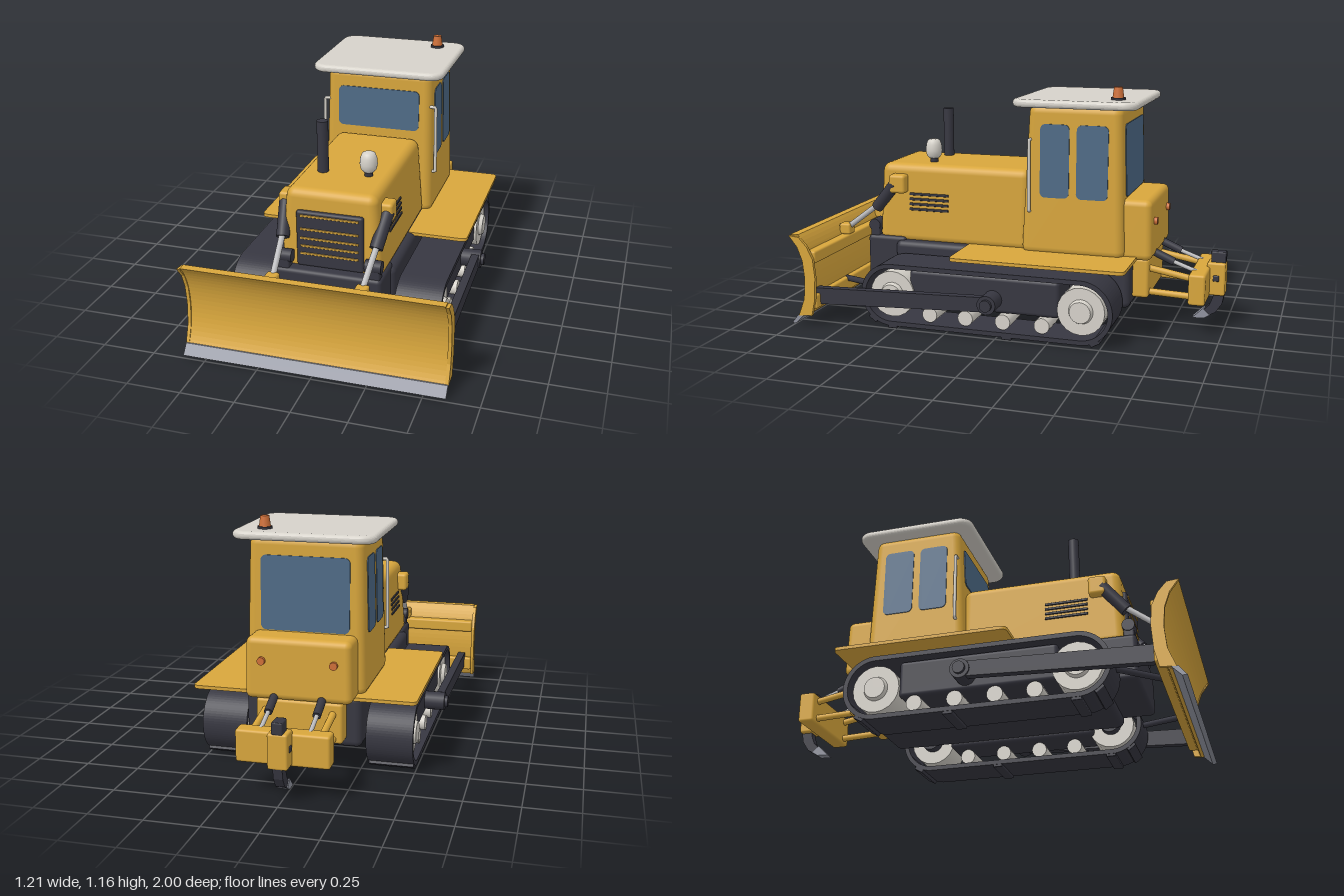
import * as THREE from 'three';
import { RoundedBoxGeometry } from 'three/addons/geometries/RoundedBoxGeometry.js';

const mat = (name, color, side = THREE.FrontSide) => {
  const m = new THREE.MeshStandardMaterial({ color, side });
  m.name = name;
  return m;
};

export function createModel() {
  const model = new THREE.Group();
  model.name = 'bulldozer';
  const yellow = mat('yellow paint', 0xd8a63c), dark = mat('dark steel', 0x373741);
  const white = mat('off white', 0xd6d2ca), glass = mat('window glass', 0x4d6985);
  const steel = mat('cutting steel', 0x8f929e), chrome = mat('chrome rod', 0xbcbcbe);
  const orange = mat('orange lamp', 0xcf7038);

  const add = (name, geo, m, x = 0, y = 0, z = 0) => {
    const mesh = new THREE.Mesh(geo, m);
    mesh.name = name;
    mesh.position.set(x, y, z);
    model.add(mesh);
    return mesh;
  };
  // Rounded box given by its x, y and z ranges
  const box = (name, m, [x0, x1], [y0, y1], [z0, z1], r = 0.01) =>
    add(name, new RoundedBoxGeometry(x1 - x0, y1 - y0, z1 - z0, 3, r), m,
      (x0 + x1) / 2, (y0 + y1) / 2, (z0 + z1) / 2);
  // Same box on the side s (+1 left, -1 right)
  const sideBox = (name, m, s, [x0, x1], ys, zs, r) =>
    box(name, m, s > 0 ? [x0, x1] : [-x1, -x0], ys, zs, r);
  // Cylinder between two points
  const rod = (name, m, a, b, r, r2 = r) => {
    const p = new THREE.Vector3(...a), q = new THREE.Vector3(...b), d = q.clone().sub(p);
    const mesh = add(name, new THREE.CylinderGeometry(r2, r, d.length(), 20), m);
    mesh.position.copy(p).add(q).multiplyScalar(0.5);
    mesh.quaternion.setFromUnitVectors(new THREE.Vector3(0, 1, 0), d.normalize());
    return mesh;
  };
  // Extrude a (z, y) outline across x, centred on x = 0
  const across = (shape, width) => new THREE.ExtrudeGeometry(shape, { depth: width, bevelEnabled: false, curveSegments: 20 })
    .translate(0, 0, -width / 2).rotateY(-Math.PI / 2);
  const outline = pts => new THREE.Shape(pts.map(p => new THREE.Vector2(...p)));
  const roundRect = (w, h, r) => {
    const s = new THREE.Shape(), a = w / 2, b = h / 2, q = Math.PI / 2;
    s.absarc(a - r, b - r, r, 0, q).absarc(r - a, b - r, r, q, 2 * q);
    s.absarc(r - a, r - b, r, 2 * q, 3 * q).absarc(a - r, r - b, r, 3 * q, 4 * q);
    s.closePath();
    return s;
  };
  // Narrow a box towards its top: sides, front and back by the given amounts
  const taper = (mesh, h, side, front, back) => {
    const p = mesh.geometry.attributes.position;
    for (let i = 0; i < p.count; i++) {
      const t = p.getY(i) / h + 0.5;
      p.setX(i, p.getX(i) - Math.sign(p.getX(i)) * side * t);
      p.setZ(i, p.getZ(i) + (p.getZ(i) > 0 ? -front : back) * t);
    }
  };
  const windowPane = (name, w, h, pos, rot, order) => {
    const g = new THREE.ExtrudeGeometry(roundRect(w, h, 0.025), { depth: 0.008, bevelEnabled: false });
    const mesh = add(name, g.translate(0, 0, -0.004), glass, ...pos);
    mesh.rotation.set(...rot, order);
  };

  // Hull and engine hood
  box('hull', dark, [-0.27, 0.27], [0.13, 0.375], [-0.585, 0.6], 0.03);
  box('hullNose', dark, [-0.25, 0.25], [0.17, 0.39], [0.55, 0.755], 0.02);
  taper(box('hood', yellow, [-0.24, 0.24], [0.36, 0.752], [-0.08, 0.7], 0.04), 0.39, 0.03, 0.012, 0);
  box('grille', dark, [-0.155, 0.155], [0.39, 0.658], [0.66, 0.71], 0.012);
  [0.638, 0.574, 0.53, 0.492, 0.455].forEach(y =>
    box('grilleSlat', yellow, [-0.135, 0.135], [y - 0.005, y + 0.005], [0.706, 0.715], 0.002));

  // Exhaust and air cleaner
  rod('exhaust', dark, [-0.11, 0.74, 0.455], [-0.11, 0.995, 0.455], 0.026);
  rod('cleanerNeck', dark, [0.105, 0.74, 0.45], [0.105, 0.8, 0.45], 0.02);
  const dome = [[0, 0.77], [0.025, 0.772], [0.036, 0.785], [0.041, 0.81], [0.038, 0.84], [0.03, 0.86], [0.018, 0.866], [0, 0.867]];
  add('airCleaner', new THREE.LatheGeometry(dome.map(p => new THREE.Vector2(...p)), 24), white, 0.105, 0, 0.45);

  // Cab
  taper(box('cab', yellow, [-0.28, 0.28], [0.36, 1.075], [-0.555, -0.055], 0.04), 0.715, 0.017, 0.035, 0.02);
  windowPane('frontWindow', 0.41, 0.2, [0, 0.887, -0.08], [-0.049, 0, 0], 'XYZ');
  windowPane('rearWindow', 0.41, 0.34, [0, 0.82, -0.5425], [0.028, Math.PI, 0], 'XYZ');
  const roof = new THREE.ExtrudeGeometry(roundRect(0.62, 0.56, 0.05),
    { depth: 0.004, bevelThickness: 0.017, bevelSize: 0.018, bevelSegments: 5 });
  add('roof', roof.rotateX(-Math.PI / 2), white, 0, 1.081, -0.315);
  rod('beaconBase', dark, [0.195, 1.098, -0.5], [0.195, 1.112, -0.5], 0.034);
  rod('beacon', orange, [0.195, 1.11, -0.5], [0.195, 1.16, -0.5], 0.027, 0.02);

  // Rear tank
  taper(box('rearTank', yellow, [-0.247, 0.247], [0.36, 0.645], [-0.68, -0.5], 0.03), 0.285, 0.006, 0, 0.006);

  // Track belt outline: two arcs joined by straight runs
  const loop = (path, r) => {
    path.absarc(0.525, 0.165, r, -Math.PI / 2, Math.PI / 2);
    path.absarc(-0.405, 0.165, r, Math.PI / 2, Math.PI * 1.5);
    path.closePath();
    return path;
  };
  const belt = loop(new THREE.Shape(), 0.152);
  belt.holes.push(loop(new THREE.Path(), 0.13));

  for (const s of [1, -1]) {
    // Tracks and running gear
    add('trackBelt', across(belt, 0.215), dark, s * 0.39, 0, 0);
    sideBox('trackFrame', dark, s, [0.26, 0.465], [0.115, 0.29], [-0.3, 0.44], 0.02);
    for (const z of [0.525, -0.405]) {
      rod('trackWheel', white, [s * 0.3, 0.165, z], [s * 0.475, 0.165, z], 0.112);
      rod('wheelHub', white, [s * 0.47, 0.165, z], [s * 0.495, 0.165, z], 0.06, 0.05);
      rod('wheelAxle', dark, [s * 0.25, 0.165, z], [s * 0.3, 0.165, z], 0.05);
    }
    for (const z of [0.335, 0.155, -0.03, -0.22])
      rod('roller', white, [s * 0.31, 0.078, z], [s * 0.475, 0.078, z], 0.037);
    for (const [z, y, tilt] of [[0.62, 0.04, -0.65], [0.52, 0.008, 0], [-0.055, 0.008, 0], [-0.475, 0.024, 0.5]])
      sideBox('grouser', dark, s, [0.285, 0.495], [y - 0.008, y + 0.012], [z - 0.024, z + 0.024], 0.004).rotation.x = tilt;

    // Fender
    const f = new THREE.Shape();
    f.moveTo(0.235, -0.22).lineTo(0.49, -0.22).quadraticCurveTo(0.52, -0.22, 0.52, -0.19);
    f.lineTo(0.52, 0.58).quadraticCurveTo(0.52, 0.61, 0.49, 0.61).lineTo(0.235, 0.61).closePath();
    const fender = new THREE.ExtrudeGeometry(f, { depth: 0.016, bevelEnabled: false });
    if (s < 0) fender.rotateZ(Math.PI).translate(0, 0.39, 0);
    add('fender', fender.rotateX(-Math.PI / 2), yellow, 0, 0.362, 0);

    // Side windows and grab rail
    for (const [z, w] of [[-0.22, 0.14], [-0.4, 0.15]])
      windowPane('sideWindow', w, 0.345, [s * 0.2695, 0.813, z], [0, s * Math.PI / 2, s * 0.024], 'ZYX');
    const rail = new THREE.CurvePath(), pts = [[0.262, 0.57], [0.288, 0.575], [0.284, 0.91], [0.25, 0.91]]
      .map(([x, y]) => new THREE.Vector3(s * x, y, -0.1));
    pts.slice(1).forEach((p, i) => rail.add(new THREE.LineCurve3(pts[i], p)));
    add('grabRail', new THREE.TubeGeometry(rail, 60, 0.008, 8), white);

    // Hood vents
    for (const y of [0.605, 0.58, 0.555, 0.53])
      sideBox('hoodVent', dark, s, [0.215, 0.247 - (y - 0.36) * 0.077], [y - 0.006, y + 0.006], [0.33, 0.535], 0.003);

    // Lift cylinder
    sideBox('liftBracket', yellow, s, [0.19, 0.265], [0.61, 0.702], [0.545, 0.63], 0.015);
    rod('liftBarrel', dark, [s * 0.238, 0.655, 0.605], [s * 0.216, 0.525, 0.715], 0.03);
    rod('liftRod', chrome, [s * 0.22, 0.55, 0.695], [s * 0.203, 0.41, 0.885], 0.014);
    sideBox('liftClevis', yellow, s, [0.175, 0.233], [0.375, 0.43], [0.865, 0.925], 0.01);
    rod('noseLug', dark, [s * 0.17, 0.44, 0.72], [s * 0.245, 0.44, 0.72], 0.03);
    sideBox('noseLugBase', dark, s, [0.18, 0.24], [0.37, 0.44], [0.695, 0.745], 0.008);

    // Push arm with pivot and diagonal brace
    const arm = outline([[0.9, 0.105], [0.9, 0.185], [0.02, 0.215], [0, 0.18], [0.02, 0.145]]);
    add('pushArm', across(arm, 0.038), dark, s * 0.535, 0, 0);
    rod('armPivot', dark, [s * 0.45, 0.18, 0.02], [s * 0.562, 0.18, 0.02], 0.045);
    rod('armPivotCap', dark, [s * 0.555, 0.18, 0.02], [s * 0.577, 0.18, 0.02], 0.028);
    rod('bladeBrace', dark, [s * 0.41, 0.18, 0.61], [s * 0.24, 0.15, 0.885], 0.015);

    // Blade end plate
    const end = outline([[0.997, 0.448], [0.955, 0.395], [0.93, 0.33], [0.92, 0.24], [0.928, 0.14], [0.96, 0.055],
      [0.89, 0.06], [0.872, 0.14], [0.866, 0.25], [0.875, 0.34], [0.905, 0.4], [0.945, 0.443]]);
    add('bladeEndPlate', across(end, 0.016), yellow, s * 0.597, 0, 0);

    // Ripper links and cylinders
    rod('ripperUpperLink', yellow, [s * 0.155, 0.315, -0.62], [s * 0.155, 0.27, -0.87], 0.016);
    rod('ripperLowerLink', yellow, [s * 0.155, 0.195, -0.62], [s * 0.155, 0.185, -0.87], 0.016);
    rod('ripperBarrel', dark, [s * 0.11, 0.385, -0.65], [s * 0.11, 0.335, -0.765], 0.019);
    rod('ripperRod', chrome, [s * 0.11, 0.34, -0.75], [s * 0.11, 0.295, -0.875], 0.01);
    rod('tailLamp', orange, [s * 0.165, 0.54, -0.67], [s * 0.165, 0.54, -0.692], 0.018);
  }

  // Blade: curved mouldboard, back rails and cutting edge
  const board = new THREE.Shape();
  board.moveTo(0.995, 0.452).bezierCurveTo(0.9, 0.36, 0.89, 0.17, 0.962, 0.052);
  board.lineTo(0.925, 0.052).bezierCurveTo(0.868, 0.17, 0.88, 0.36, 0.955, 0.452).closePath();
  add('bladeBoard', across(board, 1.18), yellow);
  box('bladeTopRail', yellow, [-0.59, 0.59], [0.315, 0.375], [0.868, 0.92], 0.01);
  box('bladeLowerRail', yellow, [-0.59, 0.59], [0.09, 0.16], [0.868, 0.92], 0.01);
  add('cuttingEdge', across(outline([[0.965, 0.058], [0.935, 0.058], [0.978, 0.014], [1.0, 0.014]]), 1.205), steel);

  // Ripper: mount, beam, holder and curved shank
  box('ripperMount', yellow, [-0.2, 0.2], [0.17, 0.36], [-0.66, -0.57], 0.015);
  box('ripperBeam', yellow, [-0.21, 0.21], [0.157, 0.305], [-0.926, -0.847], 0.012);
  box('shankHolder', yellow, [-0.045, 0.045], [0.165, 0.325], [-0.998, -0.91], 0.01);
  const shank = outline([[-0.925, 0.375], [-0.995, 0.375], [-0.997, 0.18], [-0.985, 0.12], [-0.955, 0.075], [-0.91, 0.05],
    [-0.9, 0.085], [-0.925, 0.11], [-0.94, 0.15], [-0.945, 0.2]]);
  add('ripperShank', across(shank, 0.042), dark);
  add('ripperCap', new RoundedBoxGeometry(0.05, 0.055, 0.07, 2, 0.006), dark, 0, 0.348, -0.962);
  add('shankPin', new RoundedBoxGeometry(0.1, 0.03, 0.03, 2, 0.006), dark, 0, 0.25, -0.955);
  add('ripperTip', across(outline([[-0.895, 0.09], [-0.93, 0.06], [-0.9, 0.042], [-0.845, 0.04]]), 0.05), steel);

  return model;
}
